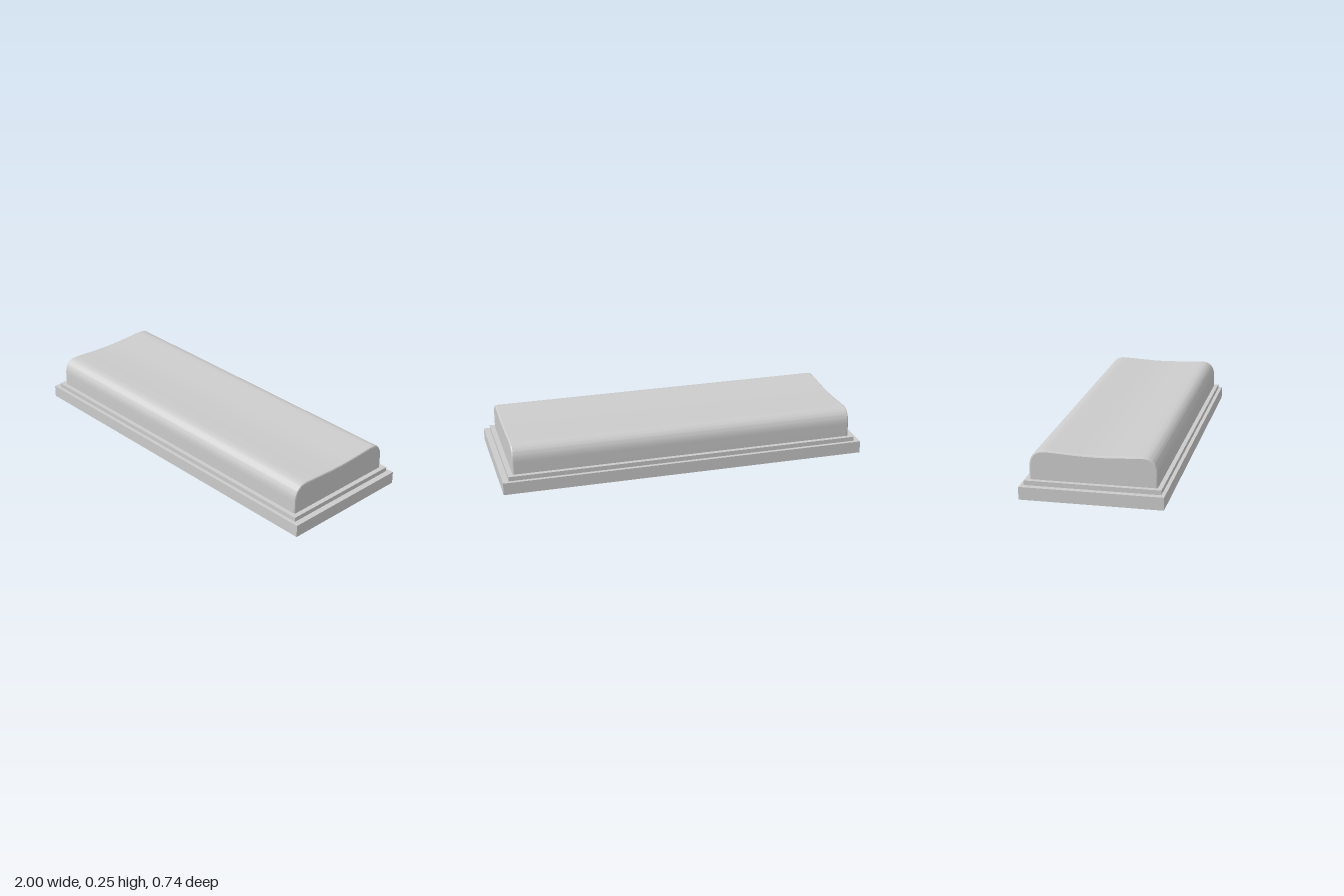
import * as THREE from 'three';
import { toCreasedNormals } from 'three/addons/utils/BufferGeometryUtils.js';

export function createModel() {
  const model = new THREE.Group();
  const material = new THREE.MeshStandardMaterial({ color: 0xcccccc });

  const add = (name, geometry, y = 0) => {
    const mesh = new THREE.Mesh(geometry, material);
    mesh.name = name;
    mesh.position.y = y;
    model.add(mesh);
  };

  // Two stacked rectangular slabs
  const slab = (name, width, depth, bottom, top) =>
    add(name, new THREE.BoxGeometry(width, top - bottom, depth), (bottom + top) / 2);
  slab('basePlate', 2, 0.736, 0, 0.067);
  slab('stepPlate', 1.936, 0.698, 0.067, 0.091);

  // Raised body: rounded shoulders and a shallow dished top, swept along x
  const half = 0.326, bottom = 0.08, bevel = 0.008, halfLength = 0.942;
  const profile = new THREE.Shape();
  profile.moveTo(-half, bottom);
  profile.lineTo(half, bottom);
  profile.lineTo(half, 0.16);
  profile.bezierCurveTo(half, 0.21, 0.3, 0.245, 0.252, 0.245);
  profile.bezierCurveTo(0.2, 0.245, 0.1, 0.235, 0, 0.235);
  profile.bezierCurveTo(-0.1, 0.235, -0.2, 0.245, -0.252, 0.245);
  profile.bezierCurveTo(-0.3, 0.245, -half, 0.21, -half, 0.16);
  profile.closePath();

  const body = new THREE.ExtrudeGeometry(profile, {
    depth: 2 * (halfLength - bevel),
    curveSegments: 16,
    bevelThickness: bevel,
    bevelSize: bevel,
    bevelOffset: -bevel,
    bevelSegments: 2,
  });
  body.translate(0, 0, bevel - halfLength);
  body.rotateY(Math.PI / 2);
  add('dishedBody', toCreasedNormals(body, 0.35));

  return model;
}
